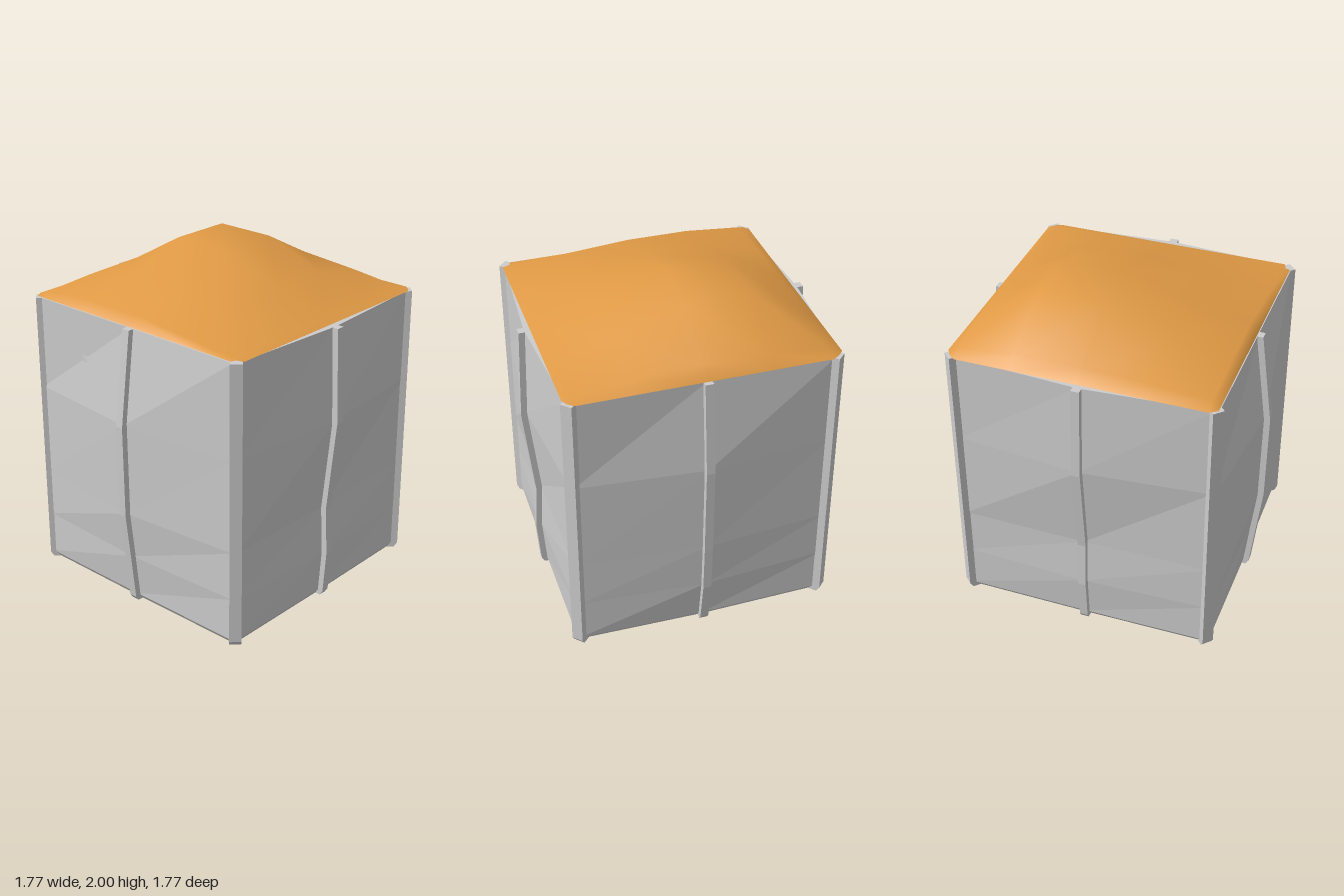
import * as THREE from 'three';

const TOP = 1.74;
const LEVELS = [0.03, 0.3, 0.6, 1.17, TOP];
const grey = new THREE.MeshStandardMaterial({ color: 0xcccccc, flatShading: true, side: THREE.DoubleSide });
const orange = new THREE.MeshStandardMaterial({ color: 0xe09a45, side: THREE.DoubleSide });

// Strap's outer distance from the centre at each level, per side
const SIDES = [
  { name: 'front', angle: 0, reach: [0.82, 0.84, 0.825, 0.885, 0.865] },
  { name: 'left', angle: Math.PI / 2, reach: [0.83, 0.87, 0.88, 0.885, 0.83] },
  { name: 'back', angle: Math.PI, reach: [0.82, 0.84, 0.825, 0.885, 0.865] },
  { name: 'right', angle: -Math.PI / 2, reach: [0.82, 0.85, 0.885, 0.89, 0.815] },
];

// Upright slab with a chamfered foot: follows `reach` outward (+z), `width` along x
function slab(reach, thickness, width, steps = 1) {
  const outer = reach.map((d, i) => new THREE.Vector2(d, LEVELS[i]));
  const inner = reach.map((d, i) => new THREE.Vector2(d - thickness, LEVELS[i])).reverse();
  const foot = [
    new THREE.Vector2(reach[0] - thickness, 0),
    new THREE.Vector2(reach[0] - Math.min(0.02, thickness * 0.6), 0),
  ];
  const geo = new THREE.ExtrudeGeometry(new THREE.Shape([...outer, ...inner, ...foot]),
    { depth: width, steps, bevelEnabled: false });
  return geo.translate(0, 0, -width / 2).rotateY(-Math.PI / 2);
}

// Piecewise-linear lookup of a profile at height y
function at(reach, y) {
  let i = 0;
  while (i < LEVELS.length - 2 && y > LEVELS[i + 1]) i++;
  const t = THREE.MathUtils.clamp((y - LEVELS[i]) / (LEVELS[i + 1] - LEVELS[i]), 0, 1);
  return THREE.MathUtils.lerp(reach[i], reach[i + 1], t);
}

// Wall that bulges at its middle and is drawn in at both ends
function wall(reach) {
  const geo = slab(reach, 0.035, 1.52, 2);
  const p = geo.attributes.position;
  for (let i = 0; i < p.count; i++) {
    if (Math.abs(p.getX(i)) > 0.1) p.setZ(i, p.getZ(i) - at(reach, p.getY(i)) + 0.78);
  }
  geo.computeVertexNormals();
  return geo;
}

// Heaped filling: a coarse height grid whose rim lies on the wall tops
function heap() {
  const xs = [-0.775, -0.73, -0.4, 0.01, 0.4, 0.74, 0.805];
  const zs = [-0.805, -0.73, -0.38, 0, 0.4, 0.74, 0.795];
  const heights = [
    [1.77, 1.79, 1.80, 1.79, 1.77],
    [1.80, 1.87, 2.00, 2.00, 1.80],
    [1.80, 1.87, 2.00, 2.00, 1.82],
    [1.77, 1.82, 1.865, 1.86, 1.79],
    [1.745, 1.755, 1.76, 1.76, 1.755],
  ];
  const geo = new THREE.PlaneGeometry(2, 2, 6, 6).rotateX(-Math.PI / 2);
  const p = geo.attributes.position;
  for (let r = 0; r < 7; r++) {
    for (let c = 0; c < 7; c++) {
      const rim = r % 6 === 0 || c % 6 === 0;
      const corner = r % 6 === 0 && c % 6 === 0;
      let x = xs[c], z = zs[r];
      if (corner) { x = Math.sign(x) * 0.775; z = Math.sign(z) * 0.775; }
      if (r === 6 && c === 0) { x = -0.745; z = 0.75; }
      p.setXYZ(r * 7 + c, x, rim ? TOP + 0.002 : heights[r - 1][c - 1], z);
    }
  }
  geo.computeVertexNormals();
  return geo;
}

export function createModel() {
  const group = new THREE.Group();
  const add = (name, geo, mat, angle = 0) => {
    const mesh = new THREE.Mesh(geo, mat);
    mesh.name = name;
    mesh.rotation.y = angle;
    group.add(mesh);
    return mesh;
  };

  // Walls, each with a strap up the middle
  for (const { name, angle, reach } of SIDES) {
    add(name + 'Wall', wall(reach.map((d) => d - 0.035)), grey, angle);
    add(name + 'Strap', slab(reach, 0.08, 0.05), grey, angle);
  }

  // Corner posts set on the diagonals
  const post = slab(LEVELS.map(() => 1.11), 0.075, 0.07);
  ['frontLeft', 'backLeft', 'backRight', 'frontRight'].forEach((name, i) => {
    add(name + 'Post', post, grey, Math.PI / 4 + i * Math.PI / 2).position.x = 0.005;
  });

  add('filling', heap(), orange);
  return group;
}
